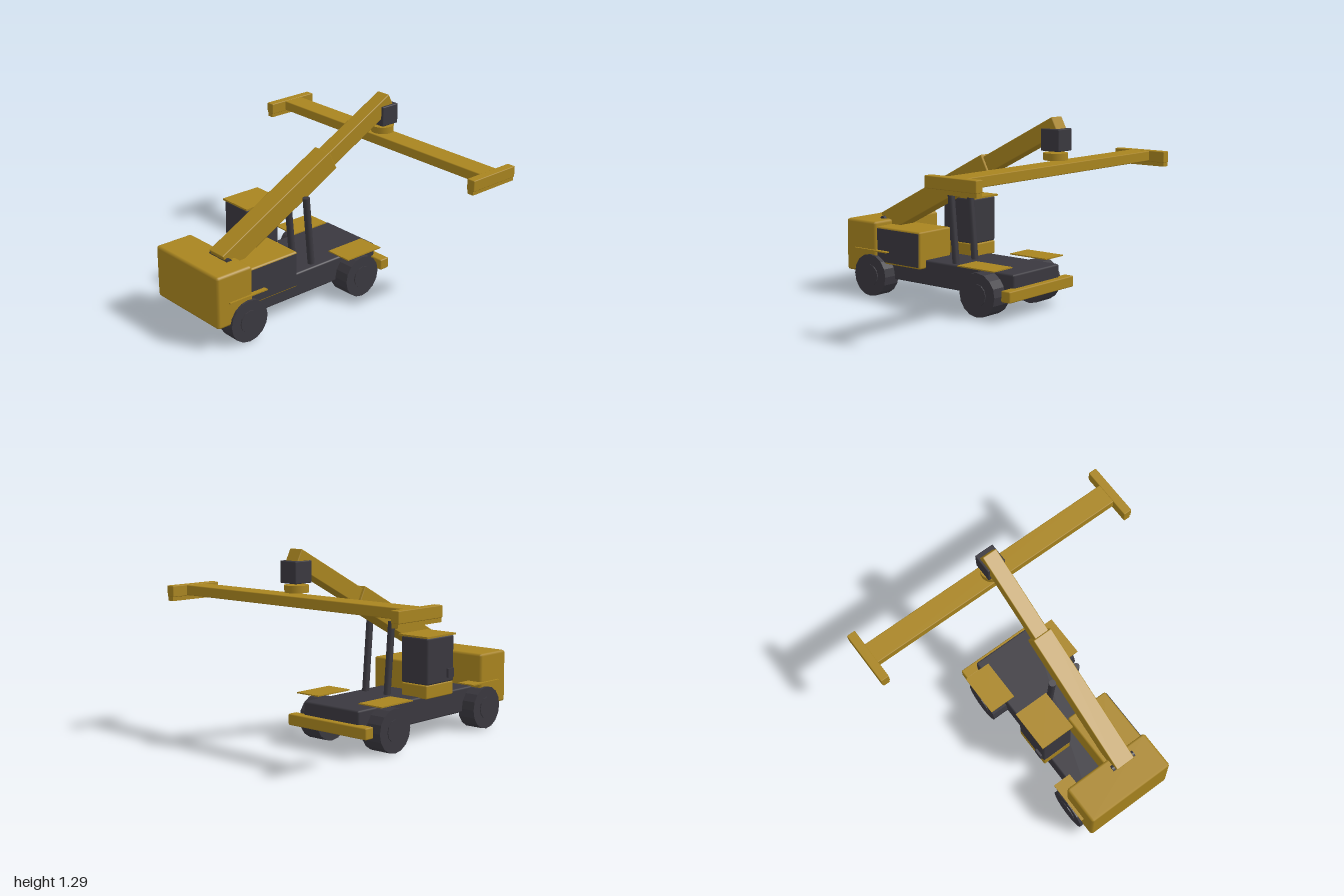
import * as THREE from 'three';
import { RoundedBoxGeometry } from 'three/addons/geometries/RoundedBoxGeometry.js';

export function createModel() {
  const model = new THREE.Group();
  model.name = 'containerHandler';
  const mat = (name, color) => {
    const m = new THREE.MeshStandardMaterial({ color });
    m.name = name;
    return m;
  };
  const yellow = mat('ochre yellow', 0xa8841f);
  const dark = mat('charcoal', 0x3a383f);

  const add = (name, geometry, material, parent = model) => {
    const mesh = new THREE.Mesh(geometry, material);
    mesh.name = name;
    parent.add(mesh);
    return mesh;
  };
  // Box given by its limits on each axis, with an optional small bevel
  const box = (name, material, [x0, x1], [y0, y1], [z0, z1], bevel = 0) => {
    const size = [x1 - x0, y1 - y0, z1 - z0];
    const g = bevel ? new RoundedBoxGeometry(...size, 1, bevel) : new THREE.BoxGeometry(...size);
    const mesh = add(name, g, material);
    mesh.position.set((x0 + x1) / 2, (y0 + y1) / 2, (z0 + z1) / 2);
    return mesh;
  };
  // Cylinder lying along x, with flat facets
  const axleCylinder = (name, material, radius, width, sides, x, y, z) => {
    const g = new THREE.CylinderGeometry(radius, radius, width, sides).rotateZ(Math.PI / 2).toNonIndexed();
    g.computeVertexNormals();
    const mesh = add(name, g, material);
    mesh.position.set(x, y, z);
    return mesh;
  };
  // Sloping beam between two points (z, y) in the side plane
  const beam = (name, material, x, width, depth, [z0, y0], [z1, y1]) => {
    const length = Math.hypot(z1 - z0, y1 - y0);
    const mesh = add(name, new RoundedBoxGeometry(width, depth, length, 1, 0.006), material);
    mesh.position.set(x, (y0 + y1) / 2, (z0 + z1) / 2);
    mesh.rotation.x = Math.atan2(y1 - y0, -(z1 - z0));
    return mesh;
  };

  // Chassis, counterweight and rear bumper
  box('chassis', dark, [-0.33, 0.15], [0.12, 0.288], [-0.51, 0.8], 0.012);
  box('counterweight', yellow, [-0.41, 0.23], [0.155, 0.515], [0.63, 0.907], 0.018);
  box('rearBumper', yellow, [-0.43, 0.247], [0.125, 0.2], [-0.555, -0.482], 0.008);

  // Engine housing with a dark side panel
  box('engineHousing', yellow, [-0.105, 0.208], [0.23, 0.482], [0.24, 0.65], 0.012);
  box('enginePanel', dark, [0.204, 0.212], [0.243, 0.47], [0.252, 0.63]);

  // Cab
  box('cabBase', yellow, [-0.385, -0.17], [0.28, 0.37], [0.08, 0.355], 0.008);
  box('cab', dark, [-0.39, -0.165], [0.37, 0.68], [0.085, 0.357], 0.012);
  box('cabRoof', yellow, [-0.4, -0.155], [0.68, 0.692], [0.07, 0.362]);
  box('cabDoorStep', dark, [-0.405, -0.385], [0.4, 0.46], [0.28, 0.34]);

  // Wheels with hubs, and flat mudguards above them
  for (const side of [-1, 1]) {
    const x = -0.0925 + side * 0.2725;
    for (const [end, z, width, guard] of [['front', 0.67, 0.13, 0.13], ['rear', -0.295, 0.157, 0.19]]) {
      axleCylinder(end + 'Wheel', dark, 0.145, width, 16, x, 0.145, z);
      axleCylinder(end + 'Hub', dark, 0.075, width + 0.012, 12, x, 0.145, z);
      box(end + 'Mudguard', yellow, [x - guard / 2, x + guard / 2], [0.314, 0.322], [z - 0.15, z + 0.15]);
    }
  }

  // Telescopic boom, its pivot pin and lift rams
  beam('outerBoom', yellow, -0.005, 0.14, 0.145, [0.702, 0.485], [-0.198, 0.955]);
  beam('innerBoom', yellow, -0.003, 0.105, 0.113, [0.1, 0.8], [-0.742, 1.239]);
  axleCylinder('boomPivot', dark, 0.022, 0.18, 12, -0.003, 0.51, 0.7);
  for (const side of [-1, 1]) {
    const from = new THREE.Vector3(-0.002 + side * 0.096, 0.28, 0.02);
    const to = new THREE.Vector3(from.x, 0.77, 0.065);
    const ram = add('liftRam', new THREE.CylinderGeometry(0.024, 0.024, from.distanceTo(to), 12), dark);
    ram.position.copy(from).lerp(to, 0.5);
    ram.quaternion.setFromUnitVectors(new THREE.Vector3(0, 1, 0), to.sub(from).normalize());
  }

  // Boom head and turntable
  box('boomHead', dark, [-0.07, 0.067], [1.078, 1.216], [-0.787, -0.647], 0.006);
  const turntable = add('turntable', new THREE.CylinderGeometry(0.077, 0.077, 0.045, 20), yellow);
  turntable.position.set(-0.002, 1.043, -0.713);

  // Lifting spreader with end beams and lock rails
  box('spreaderBeam', yellow, [-0.95, 0.95], [0.937, 1.004], [-0.797, -0.645], 0.006);
  for (const side of [-1, 1]) {
    const span = (a, b) => (side > 0 ? [a, b] : [-b, -a]);
    box('spreaderEnd', yellow, span(0.94, 1), [0.932, 1.006], [-0.912, -0.525], 0.005);
    box('lockRail', yellow, span(0.946, 0.992), [0.906, 0.934], [-0.91, -0.527]);
  }
  return model;
}
